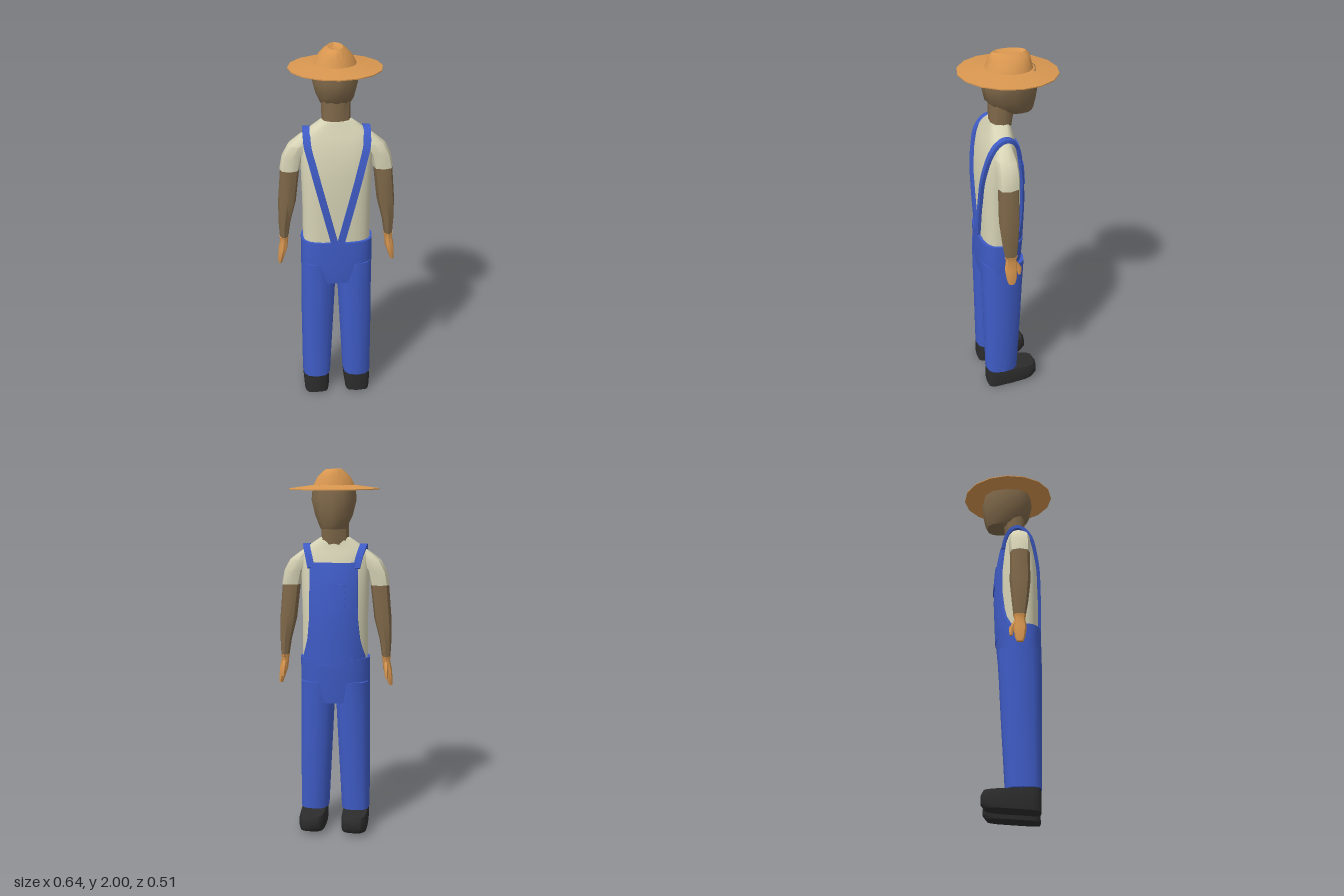
import * as THREE from 'three';
import { toCreasedNormals } from 'three/addons/utils/BufferGeometryUtils.js';

const mat = (name, color) => Object.assign(new THREE.MeshStandardMaterial({ color }), { name });

// Skin a stack of closed rings (listed bottom to top) and cap both ends.
function loft(rings, crease = 0.75) {
  const n = rings[0].length, pos = rings.flat(2), idx = [];
  for (let i = 0; i < rings.length - 1; i++) {
    for (let j = 0; j < n; j++) {
      const a = i * n + j, b = i * n + (j + 1) % n, c = a + n, d = b + n;
      idx.push(a, c, b, b, c, d);
    }
  }
  const top = (rings.length - 1) * n;
  for (let j = 0; j < n / 2 - 1; j++) {
    const k = n - 1 - j, l = n - 2 - j;
    idx.push(j, j + 1, l, j, l, k);
    idx.push(top + j, top + k, top + l, top + j, top + l, top + j + 1);
  }
  const geo = new THREE.BufferGeometry();
  geo.setAttribute('position', new THREE.Float32BufferAttribute(pos, 3));
  geo.setIndex(idx);
  return toCreasedNormals(geo.toNonIndexed(), crease);
}

// Rounded horizontal section; p = 1 is an ellipse, smaller is squarer.
function ring(n, y, cx, rx, zf, zb, p = 1, pBack = p) {
  const pts = [];
  for (let j = 0; j < n; j++) {
    const t = (j / n) * Math.PI * 2, c = Math.cos(t), s = Math.sin(t);
    const e = s > 0 ? pBack : p;
    const f = v => (Math.abs(v) < 1e-6 ? 0 : Math.sign(v) * Math.abs(v) ** e);
    pts.push([cx + rx * f(c), y, (zf + zb) / 2 + ((zb - zf) / 2) * f(s)]);
  }
  return pts;
}

// Torso sections: height, half width, front z, back z
const TORSO = [
  [0.95, 0.18, -0.055, 0.165], [1.2, 0.18, -0.065, 0.168], [1.35, 0.184, -0.06, 0.168],
  [1.45, 0.186, -0.046, 0.158], [1.53, 0.186, -0.03, 0.142], [1.565, 0.178, -0.02, 0.13],
  [1.6, 0.14, -0.01, 0.118], [1.642, 0.078, -0.006, 0.104],
];
const P_BACK = 0.6;

// z of the torso surface at x, y; side is -1 for the chest, 1 for the back
function torsoZ(x, y, side) {
  let i = 0;
  while (i < TORSO.length - 2 && y > TORSO[i + 1][0]) i++;
  const a = TORSO[i], b = TORSO[i + 1];
  const t = THREE.MathUtils.clamp((y - a[0]) / (b[0] - a[0]), 0, 1);
  const [, rx, zf, zb] = a.map((v, k) => v + (b[k] - v) * t);
  const p = side > 0 ? P_BACK : 1;
  const u = Math.min(Math.abs(x / rx), 1);
  return (zf + zb) / 2 + side * ((zb - zf) / 2) * (1 - u ** (2 / p)) ** (p / 2);
}

// Plate hugging the chest; rows give height and half width
function chestPlate(rows, inner, outer) {
  const m = 10;
  return loft(rows.map(([y, w]) => {
    const r = [];
    for (let i = 0; i <= m; i++) {
      const x = w - (2 * w * i) / m;
      r.push([x, y, torsoZ(x, y, -1) - inner]);
    }
    for (let i = 0; i <= m; i++) {
      const x = -w + (2 * w * i) / m;
      r.push([x, y, torsoZ(x, y, -1) - outer]);
    }
    return r;
  }));
}

// Flat band swept along a path
function band(points, halfWidth, halfThick, steps) {
  const curve = new THREE.CatmullRomCurve3(points.map(p => new THREE.Vector3(...p)));
  const X = new THREE.Vector3(1, 0, 0), rings = [];
  for (let i = 0; i <= steps; i++) {
    const p = curve.getPoint(i / steps);
    const b = X.clone().cross(curve.getTangent(i / steps)).normalize().multiplyScalar(halfThick);
    rings.push([[1, 1], [-1, 1], [-1, -1], [1, -1]].map(([s, t]) =>
      [p.x + s * halfWidth, p.y + t * b.y, p.z + t * b.z]));
  }
  return loft(rings);
}

export function createModel() {
  const group = new THREE.Group();
  group.name = 'farmer';
  const denim = mat('blue denim', 0x3f5cc6);
  const cloth = mat('cream shirt', 0xd6d3b5);
  const skin = mat('brown skin', 0x80694a);
  const straw = mat('straw orange', 0xd99750);
  const leather = mat('black leather', 0x2c2c2c);

  const add = (name, geo, material) => {
    const m = new THREE.Mesh(geo, material);
    m.name = name;
    group.add(m);
    return m;
  };
  const pair = (name, geo, material) => {
    add(name + 'Left', geo, material);
    add(name + 'Right', geo, material).scale.x = -1;
  };

  // Hat: brim, pinched crown and dent in one skin, tipped slightly forward
  const hat = [
    [1.894, 0.24, -0.255, 0.255], [1.899, 0.24, -0.255, 0.255], [1.917, 0.108, -0.127, 0.116],
    [1.96, 0.086, -0.116, 0.1], [1.985, 0.06, -0.106, 0.09], [1.999, 0.04, -0.09, 0.075],
    [1.987, 0.012, -0.07, 0.055],
  ].map(([y, rx, zf, zb]) => ring(16, y, 0, rx, zf, zb).map(([x, h, z]) => [x, h + 0.03 * z, z]));
  add('hat', loft(hat, 0.5), straw);

  // Head and neck
  add('head', loft([
    [1.69, 0.066, -0.122, 0.03], [1.71, 0.078, -0.132, 0.075], [1.76, 0.1, -0.142, 0.122],
    [1.84, 0.12, -0.152, 0.14], [1.912, 0.113, -0.14, 0.132],
  ].map(([y, rx, zf, zb]) => ring(12, y, 0, rx, zf, zb, 0.85))), skin);
  add('neck', loft([
    [1.59, 0.076, -0.008, 0.1], [1.66, 0.074, -0.02, 0.1], [1.76, 0.076, -0.034, 0.1],
  ].map(([y, rx, zf, zb]) => ring(10, y, 0, rx, zf, zb, 0.85))), skin);

  // Shirt body
  add('shirt', loft(TORSO.map(([y, rx, zf, zb]) => ring(24, y, 0, rx, zf, zb, 1, P_BACK))), cloth);

  // Arms: height, centre x, half width, front z, back z
  const limb = (rows, n = 8, p = 0.8) => loft(rows.map(([y, cx, rx, zf, zb]) => ring(n, y, cx, rx, zf, zb, p)));
  pair('sleeve', limb([
    [1.385, 0.243, 0.053, 0.012, 0.126], [1.46, 0.228, 0.054, 0.008, 0.127],
    [1.52, 0.195, 0.055, 0.012, 0.122], [1.56, 0.165, 0.032, 0.025, 0.1], [1.578, 0.15, 0.02, 0.035, 0.09],
  ]), cloth);
  pair('forearm', limb([
    [0.98, 0.282, 0.022, 0.034, 0.096], [1.08, 0.277, 0.032, 0.024, 0.112],
    [1.2, 0.261, 0.047, 0.014, 0.124], [1.39, 0.242, 0.05, 0.015, 0.123],
  ]), skin);
  pair('hand', limb([
    [0.832, 0.307, 0.01, 0.05, 0.085], [0.86, 0.302, 0.016, 0.04, 0.094], [0.92, 0.29, 0.024, 0.034, 0.102],
    [0.97, 0.282, 0.021, 0.038, 0.094], [0.992, 0.282, 0.026, 0.03, 0.1],
  ]), straw);
  pair('thumb', limb([
    [0.875, 0.287, 0.008, 0.012, 0.03], [0.915, 0.285, 0.011, 0.008, 0.04], [0.96, 0.282, 0.01, 0.036, 0.06],
  ], 6, 1), straw);

  // Trousers
  pair('trouserLeg', limb([
    [0.115, 0.116, 0.08, -0.014, 0.17], [0.5, 0.106, 0.09, -0.036, 0.175],
    [0.7, 0.1, 0.094, -0.046, 0.179], [0.86, 0.096, 0.096, -0.056, 0.18],
  ], 12, 0.75), denim);
  add('trouserHips', loft([
    [0.74, 0.185, -0.042, 0.172], [0.84, 0.192, -0.056, 0.181], [0.99, 0.192, -0.069, 0.181],
  ].map(([y, rx, zf, zb]) => ring(24, y, 0, rx, zf, zb, 0.9, 0.62))), denim);

  // Bib with curved sides, and its pocket
  add('bib', chestPlate([
    [0.95, 0.176], [1.0, 0.17], [1.05, 0.155], [1.1, 0.143], [1.2, 0.133], [1.35, 0.13], [1.45, 0.13], [1.51, 0.13],
  ], -0.01, 0.015), denim);
  add('bibPocket', chestPlate([[1.255, 0.022], [1.28, 0.062], [1.4, 0.07]], 0.012, 0.021), denim);

  // Braces: up the back from the V, over the shoulder, down to the bib
  const path = [];
  for (let i = 0; i <= 6; i++) {
    const y = 0.985 + i * 0.09, x = 0.016 + i * 0.0225;
    path.push([x, y, torsoZ(x, y, 1) + 0.006]);
  }
  path.push([0.154, 1.578, 0.098], [0.155, 1.599, 0.06], [0.151, 1.588, 0.022],
    [0.137, 1.545, -0.008], [0.122, 1.48, -0.026]);
  pair('brace', band(path, 0.019, 0.009, 36), denim);

  // Boots: rounded blocks with the sole rising toward the toe
  const boot = [[0, 0.07, -0.115], [0.03, 0.073, -0.132], [0.09, 0.073, -0.132], [0.115, 0.068, -0.12]]
    .map(([y, rx, zf]) => ring(16, y, 0.118, rx, zf, 0.165, 0.55, 0.4).map(([x, h, z]) =>
      [x, h + (0.165 - z) * (0.07 - h) * (h < 0.07 ? 1 : 0.6), z]));
  pair('boot', loft(boot), leather);

  return group;
}
